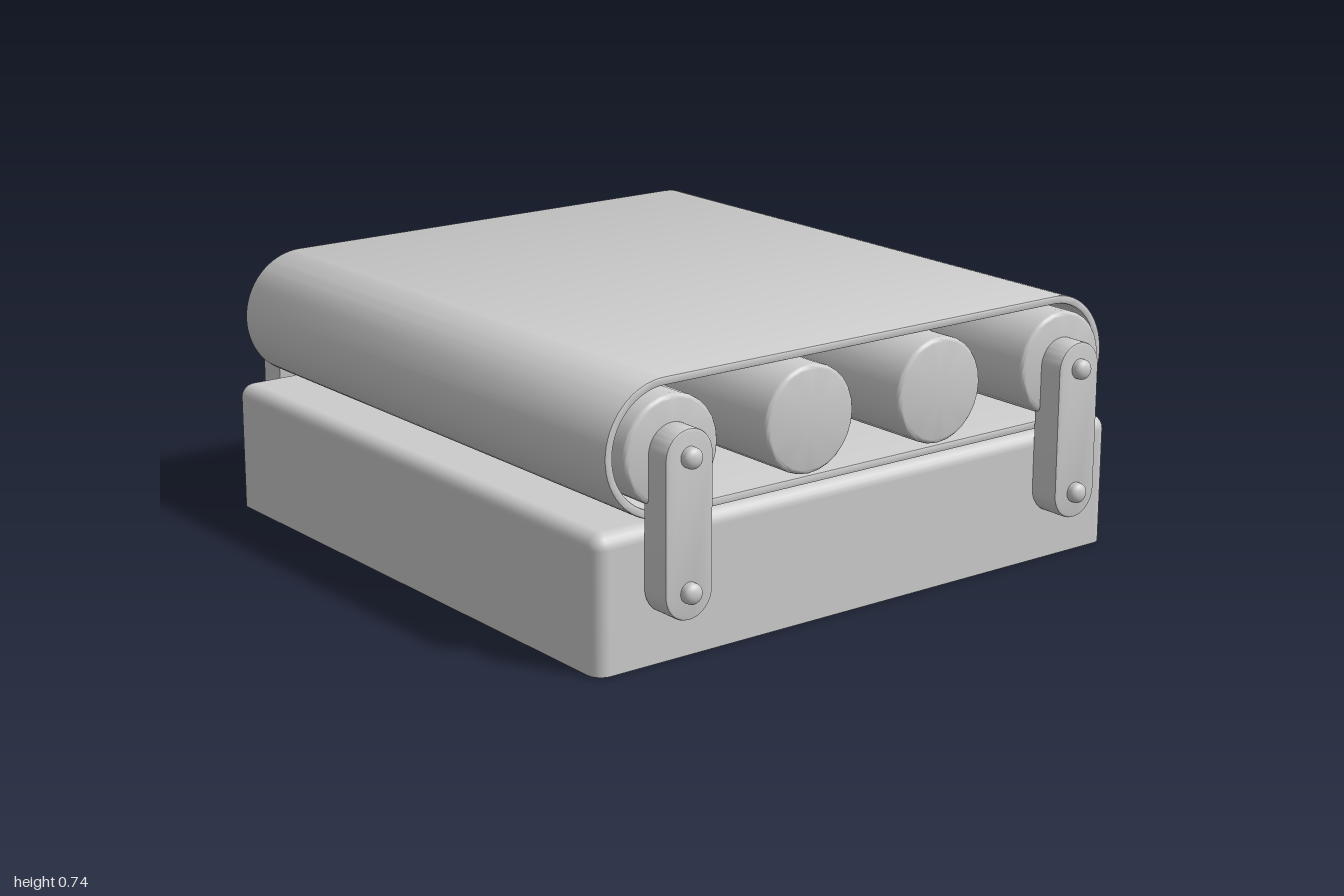
import * as THREE from 'three';
import { toCreasedNormals } from 'three/addons/utils/BufferGeometryUtils.js';

const AXLE_Y = 0.554, END_X = 0.664;
const material = new THREE.MeshStandardMaterial({ color: 0xcccccc });
const shellMaterial = new THREE.MeshStandardMaterial({ color: 0xcccccc, side: THREE.DoubleSide });

function part(name, geometry, parent, mat = material) {
  const mesh = new THREE.Mesh(geometry, mat);
  mesh.name = name;
  parent.add(mesh);
  return mesh;
}

// Stadium outline: two half circles joined by straight sides
function stadium(PathType, half, r, vertical) {
  const path = new PathType();
  const t = vertical ? Math.PI / 2 : 0;
  const cx = half * Math.cos(t), cy = half * Math.sin(t);
  path.absarc(cx, cy, r, t - Math.PI / 2, t + Math.PI / 2, false);
  path.absarc(-cx, -cy, r, t + Math.PI / 2, t + Math.PI * 1.5, false);
  path.closePath();
  return path;
}

function extrude(shape, depth, bevel) {
  const geo = new THREE.ExtrudeGeometry(shape, {
    depth: depth - 2 * bevel, curveSegments: 16, bevelThickness: bevel,
    bevelSize: bevel, bevelOffset: -bevel, bevelSegments: 2,
  });
  return toCreasedNormals(geo.translate(0, 0, bevel), 0.6);
}

// Open-bottomed box with rounded corners and a rounded top edge
function baseGeometry(half, height, r) {
  const n = 6, rows = [[r, 0, 0]], pos = [], nor = [], idx = [];
  for (let i = 0; i <= n; i++) {
    const b = (i / n) * Math.PI / 2;
    rows.push([r * Math.cos(b), height - r + r * Math.sin(b), b]);
  }
  const ring = 4 * (n + 1);
  for (const [rad, y, b] of rows) {
    for (let c = 0; c < 4; c++) {
      const mid = Math.PI / 4 + c * Math.PI / 2;
      const sx = Math.sign(Math.cos(mid)), sz = Math.sign(Math.sin(mid));
      for (let k = 0; k <= n; k++) {
        const a = (c + k / n) * Math.PI / 2;
        pos.push(sx * (half - r) + rad * Math.cos(a), y, sz * (half - r) + rad * Math.sin(a));
        nor.push(Math.cos(a) * Math.cos(b), Math.sin(b), Math.sin(a) * Math.cos(b));
      }
    }
  }
  for (let j = 0; j < rows.length - 1; j++) {
    for (let i = 0; i < ring; i++) {
      const a = j * ring + i, b = j * ring + (i + 1) % ring;
      idx.push(a, a + ring, b, b, a + ring, b + ring);
    }
  }
  // Flat top between the four corners
  const top = (rows.length - 1) * ring, s = n + 1;
  idx.push(top, top + 2 * s, top + s, top, top + 3 * s, top + 2 * s);
  const geo = new THREE.BufferGeometry();
  geo.setAttribute('position', new THREE.Float32BufferAttribute(pos, 3));
  geo.setAttribute('normal', new THREE.Float32BufferAttribute(nor, 3));
  geo.setIndex(idx);
  return geo;
}

// Cylinder along z with softened end edges
function rollerGeometry(r, half, f) {
  const pts = [new THREE.Vector2(0, -half)];
  for (const s of [-1, 1]) {
    for (let i = 0; i <= 3; i++) {
      const a = (s < 0 ? i - 3 : i) / 3 * Math.PI / 2;
      pts.push(new THREE.Vector2(r - f + f * Math.cos(a), s * (half - f) + f * Math.sin(a)));
    }
  }
  pts.push(new THREE.Vector2(0, half));
  return toCreasedNormals(new THREE.LatheGeometry(pts, 28).rotateX(Math.PI / 2), 0.6);
}

export function createModel() {
  const model = new THREE.Group();
  model.name = 'conveyor';

  part('base', baseGeometry(0.88, 0.367, 0.04), model, shellMaterial);

  // Belt loop
  const loop = stadium(THREE.Shape, END_X, 0.182, false);
  loop.holes.push(stadium(THREE.Path, END_X, 0.159, false));
  part('belt', extrude(loop, 1.74, 0.005), model).position.set(0, AXLE_Y, -0.87);

  // Rollers
  const roller = rollerGeometry(0.145, 0.9, 0.012);
  for (let i = 0; i < 4; i++) {
    part('roller', roller, model).position.set(END_X * (-1 + i * 2 / 3), AXLE_Y, 0);
  }

  // Side brackets, each with two round-headed bolts
  const plate = extrude(stadium(THREE.Shape, 0.174, 0.073, true), 0.091, 0.006);
  const bolt = new THREE.SphereGeometry(0.028, 20, 8, 0, Math.PI * 2, 0, Math.PI / 2);
  bolt.rotateX(Math.PI / 2);
  const shank = new THREE.CylinderGeometry(0.028, 0.028, 0.02, 20, 1, true).rotateX(Math.PI / 2);
  for (const side of [1, -1]) {
    for (const x of [-END_X, END_X]) {
      const bracket = new THREE.Group();
      bracket.name = 'bracket';
      bracket.position.set(x, 0.381, side * 0.879);
      if (side < 0) bracket.rotation.y = Math.PI;
      part('bracketPlate', plate, bracket);
      for (const y of [-0.174, 0.174]) {
        const head = part('boltHead', bolt, bracket);
        head.position.set(0, y, 0.103);
        head.scale.z = 0.64;
        part('boltShank', shank, bracket).position.set(0, y, 0.093);
      }
      model.add(bracket);
    }
  }
  return model;
}
